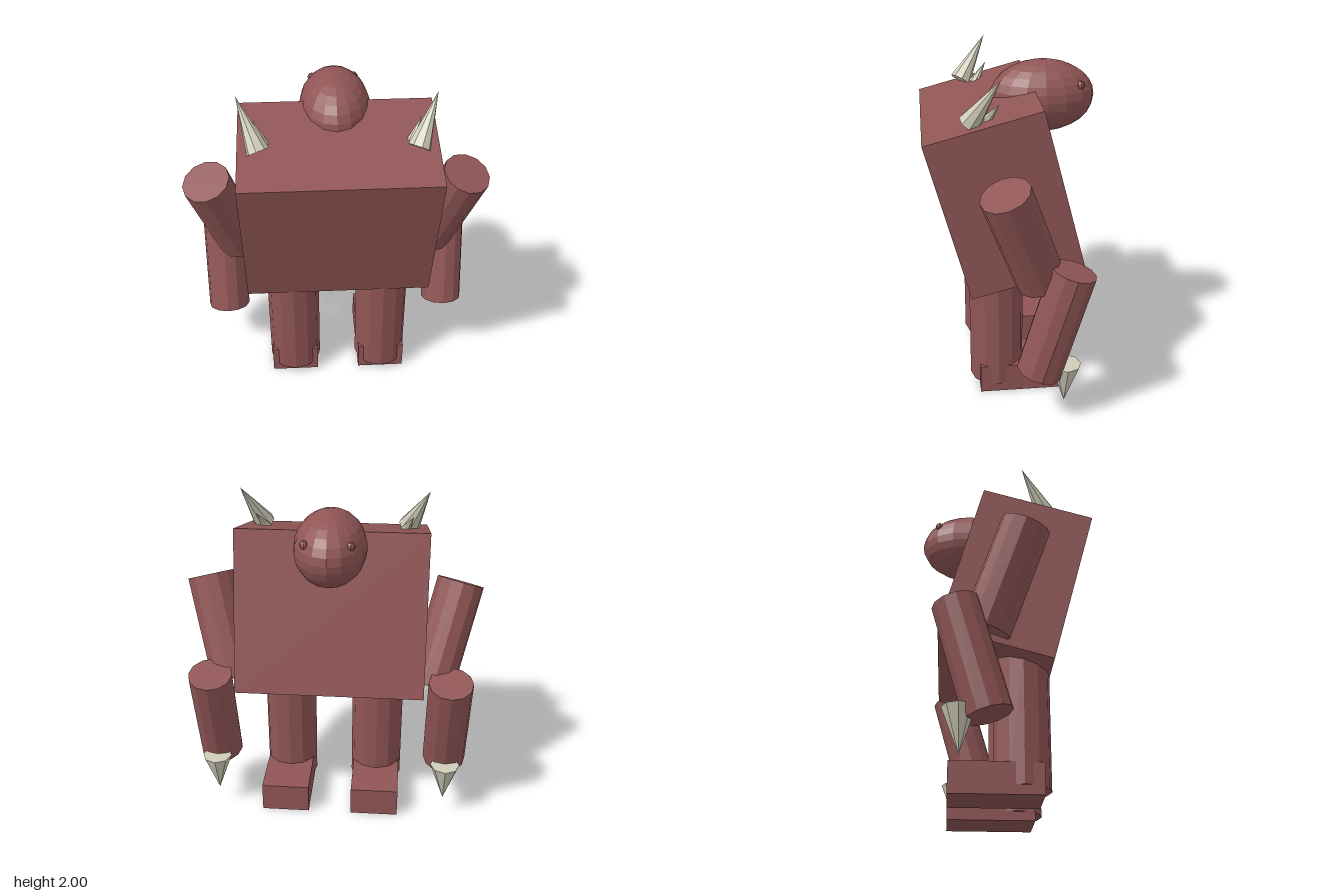
import * as THREE from 'three';

const hide = new THREE.MeshStandardMaterial({ color: 0x905555, flatShading: true });
hide.name = 'reddish brown hide';
const bone = new THREE.MeshStandardMaterial({ color: 0xcfccb8, flatShading: true });
bone.name = 'pale bone';

const UP = new THREE.Vector3(0, 1, 0);

export function createModel() {
  const model = new THREE.Group();
  model.name = 'hornedBrute';

  function add(name, geometry, material, x, y, z) {
    const mesh = new THREE.Mesh(geometry, material);
    mesh.name = name;
    mesh.position.set(x, y, z);
    model.add(mesh);
    return mesh;
  }

  // Tapered round part running from point a to point b
  function limb(name, material, a, b, rA, rB, sides) {
    const start = new THREE.Vector3(...a);
    const end = new THREE.Vector3(...b);
    const dir = end.clone().sub(start);
    const mid = start.clone().add(end).multiplyScalar(0.5);
    const geometry = new THREE.CylinderGeometry(rB, rA, dir.length(), sides);
    const mesh = add(name, geometry, material, mid.x, mid.y, mid.z);
    mesh.quaternion.setFromUnitVectors(UP, dir.normalize());
    return mesh;
  }

  // Hunched torso leaning towards the back, head hanging out in front (-z)
  add('torso', new THREE.BoxGeometry(1.11, 0.96, 0.67), hide, 0, 1.282, 0.063).rotation.x = Math.PI / 12;
  add('head', new THREE.SphereGeometry(1, 16, 14), hide, 0, 1.76, -0.2).scale.set(0.207, 0.21, 0.307);

  for (const [s, side] of [[1, 'left'], [-1, 'right']]) {
    add(side + 'Eye', new THREE.SphereGeometry(0.025, 8, 6), hide, s * 0.125, 1.845, -0.405);

    // Legs and feet
    limb(side + 'Leg', hide, [s * 0.28, 0.055, 0.1], [s * 0.28, 0.85, 0.1], 0.162, 0.162, 12);
    add(side + 'Foot', new THREE.BoxGeometry(0.295, 0.18, 0.52), hide, s * 0.282, 0.09, -0.05);

    // Arms with a claw at the end
    limb(side + 'UpperArm', hide, [s * 0.605, 0.87, -0.12], [s * 0.757, 1.455, 0.093], 0.142, 0.142, 12);
    limb(side + 'LowerArm', hide, [s * 0.715, 0.33, -0.105], [s * 0.715, 0.968, -0.29], 0.132, 0.132, 12);
    limb(side + 'Claw', bone, [s * 0.715, 0.37, -0.26], [s * 0.715, 0.117, -0.255], 0.09, 0, 8);

    // Shoulder horns
    limb(side + 'LargeHorn', bone, [s * 0.438, 1.745, 0.25], [s * 0.548, 2, 0.093], 0.065, 0, 8);
    limb(side + 'SmallHorn', bone, [s * 0.408, 1.73, 0.17], [s * 0.463, 1.85, 0.092], 0.034, 0, 8);
  }

  return model;
}
